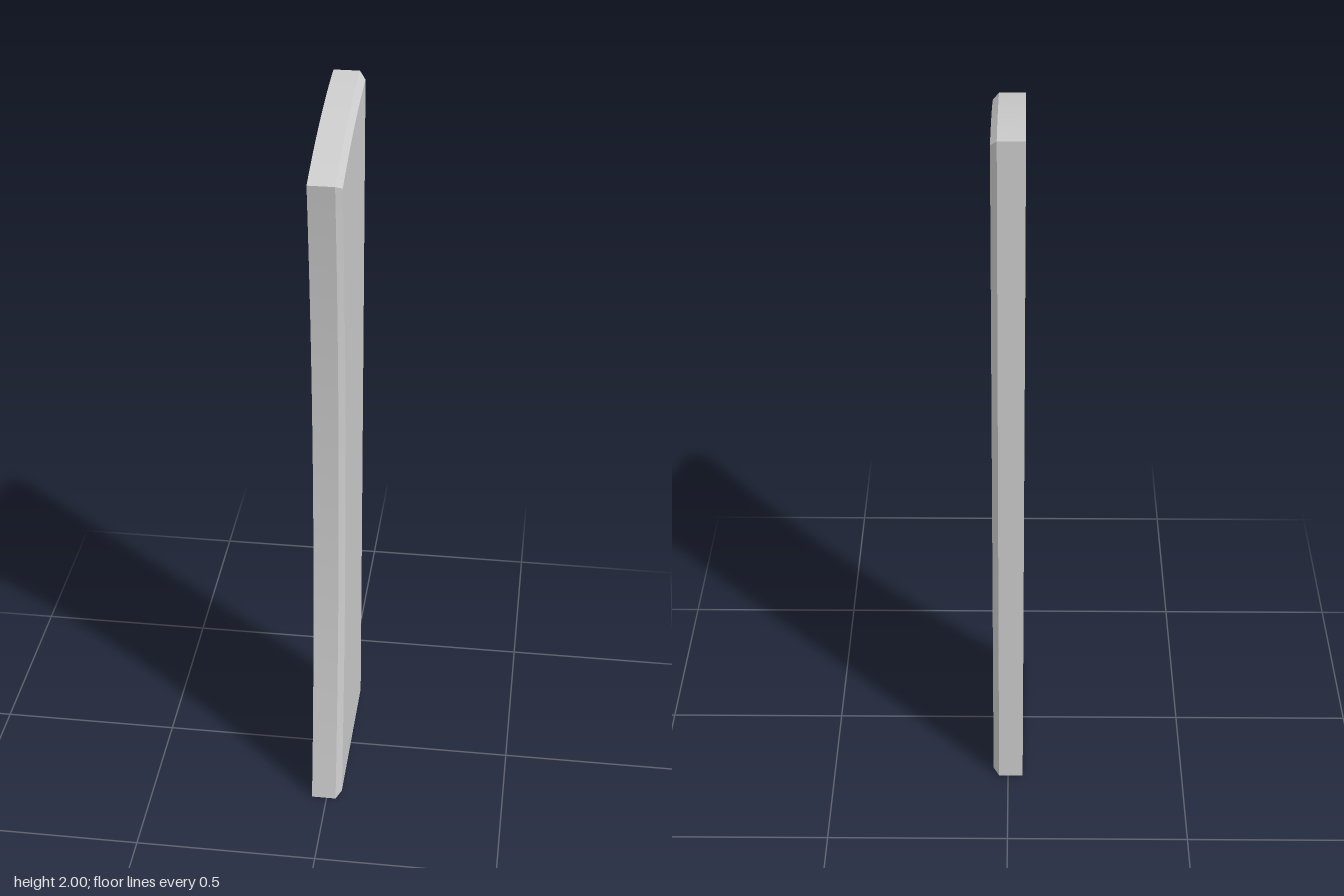
import * as THREE from 'three';
import { toCreasedNormals } from 'three/addons/utils/BufferGeometryUtils.js';

const HALF = 0.042, BEVEL = 0.016;

// Side outline, counter-clockwise as seen from +x (s = -z, y up)
function sideOutline() {
  const pts = [new THREE.Vector2(-0.25, 0), new THREE.Vector2(0.25, 0)];
  const N = 16, M = 32;
  // crowned top edge, rising toward the back
  for (let i = 0; i <= N; i++) {
    const t = i / N;
    pts.push(new THREE.Vector2(0.25 - 0.5 * t, 2 - 0.1 * t + 0.072 * t * (1 - t)));
  }
  // hollowed front edge
  for (let i = 1; i < M; i++) {
    const k = 1 - (2 * i) / M;
    pts.push(new THREE.Vector2(-0.18 - 0.07 * k * k, 0.95 + 0.95 * k));
  }
  return pts;
}

// Moves every edge of the outline inward by d, with mitred corners
function inset(pts, d) {
  const n = pts.length;
  const normal = (a, b) => new THREE.Vector2(a.y - b.y, b.x - a.x).normalize();
  return pts.map((p, i) => {
    const n1 = normal(pts[(i + n - 1) % n], p);
    const n2 = normal(p, pts[(i + 1) % n]);
    return p.clone().addScaledVector(n1.clone().add(n2), d / (1 + n1.dot(n2)));
  });
}

function panelGeometry() {
  const outer = sideOutline(), inner = inset(outer, BEVEL);
  const levels = [[-HALF, outer], [HALF - BEVEL, outer], [HALF, inner]];
  const pos = [], n = outer.length;
  const put = (x, p) => pos.push(x, p.y, -p.x);
  // edge walls, then the chamfer
  for (let l = 0; l < 2; l++) {
    const [x0, lo] = levels[l], [x1, hi] = levels[l + 1];
    for (let i = 0; i < n; i++) {
      const j = (i + 1) % n;
      put(x0, lo[i]); put(x0, lo[j]); put(x1, hi[j]);
      put(x0, lo[i]); put(x1, hi[j]); put(x1, hi[i]);
    }
  }
  // flat side faces
  for (const [a, b, c] of THREE.ShapeUtils.triangulateShape(outer, [])) {
    put(HALF, inner[a]); put(HALF, inner[b]); put(HALF, inner[c]);
    put(-HALF, outer[a]); put(-HALF, outer[c]); put(-HALF, outer[b]);
  }
  const geo = new THREE.BufferGeometry();
  geo.setAttribute('position', new THREE.Float32BufferAttribute(pos, 3));
  return toCreasedNormals(geo, 0.4);
}

export function createModel() {
  const group = new THREE.Group();
  group.name = 'curvedEndPanel';
  const panel = new THREE.Mesh(panelGeometry(), new THREE.MeshStandardMaterial({ color: 0xcccccc }));
  panel.name = 'panel';
  group.add(panel);
  return group;
}
